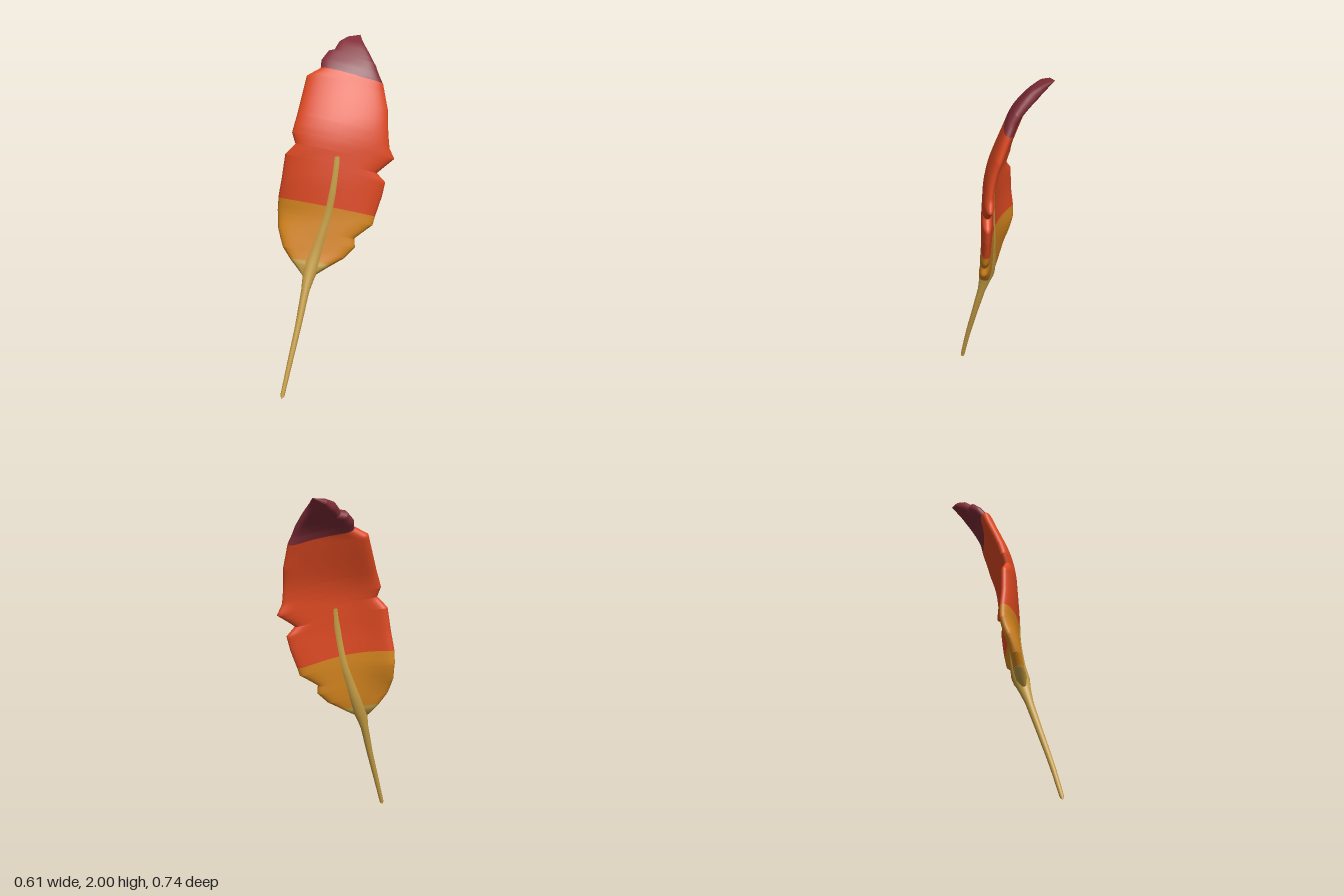
import * as THREE from 'three';

const mat = (name, color) => {
  const m = new THREE.MeshStandardMaterial({ color });
  m.name = name;
  return m;
};

// Piecewise linear lookup in a list of [key, value] pairs
function lookup(table, k) {
  if (k <= table[0][0]) return table[0][1];
  for (let i = 1; i < table.length; i++) {
    const [a, va] = table[i - 1], [b, vb] = table[i];
    if (k <= b) return va + (vb - va) * (k - a) / (b - a);
  }
  return table[table.length - 1][1];
}

// Depth of the vane along its middle, its sideways tilt and its curl, by height
const BEND = [[0.6, 0.13], [0.64, 0.115], [0.7, 0.094], [0.76, 0.077], [0.83, 0.066], [1, 0.049], [1.2, 0.046],
  [1.4, 0.032], [1.5, 0.008], [1.6, -0.035], [1.7, -0.081], [1.8, -0.124], [1.9, -0.22], [1.95, -0.28],
  [2, -0.36], [2.1, -0.53]];
const TILT = [[0.83, 0.44], [1, 0.4]];
const CURL = [[0.83, 0.5], [1, 0.9]];
// Ragged outlines of the two vane edges, as x, y
const RIGHT_EDGE = [[-0.095, 0.64], [-0.13, 0.67], [-0.2, 0.75], [-0.25, 0.82], [-0.29, 0.92], [-0.305, 1.02],
  [-0.3, 1.1], [-0.28, 1.2], [-0.26, 1.34], [-0.2, 1.4], [-0.225, 1.46], [-0.21, 1.55], [-0.19, 1.77],
  [-0.12, 1.81], [-0.13, 1.855], [-0.11, 1.9], [-0.08, 1.905], [-0.07, 1.95], [-0.04, 1.98], [0.02, 2]];
const LEFT_EDGE = [[-0.095, 0.64], [-0.06, 0.67], [0, 0.71], [0.08, 0.76], [0.13, 0.82], [0.125, 0.87], [0.21, 0.94],
  [0.22, 0.99], [0.25, 1.1], [0.265, 1.18], [0.225, 1.235], [0.303, 1.31], [0.28, 1.37], [0.255, 1.58],
  [0.215, 1.72], [0.165, 1.82], [0.12, 1.88], [0.06, 1.95], [0.02, 2]];
const HALF_THICKNESS = 0.03;

// Drop of a slanted, slightly arched row at x
const rowDrop = x => 0.23 * x + 0.3 * x * x;

// Curved, tilted middle surface of the vane
function depth(x, y) {
  let z = 0;
  for (let i = -2; i <= 2; i++) {
    const h = y + i * 0.018;
    z += (lookup(BEND, h) - lookup(TILT, h) * x - lookup(CURL, h) * x * x) / 5;
  }
  return z;
}

function surfacePoint(x, y, offset) {
  const e = 0.005;
  const n = new THREE.Vector3(
    (depth(x - e, y) - depth(x + e, y)) / (2 * e),
    (depth(x, y - e) - depth(x, y + e)) / (2 * e), 1).normalize();
  return new THREE.Vector3(x, y, depth(x, y)).addScaledVector(n, offset);
}

// Vane: closed cross-sections on slanted rows, coloured in bands
function makeVane(materials) {
  const toRows = edge => edge.map(([x, y]) => [y + rowDrop(x), x]);
  const right = toRows(RIGHT_EDGE), left = toRows(LEFT_EDGE);
  const bands = [0.726, 1.054, 1.785];
  const first = right[0][0], last = right[right.length - 1][0];
  let rows = [...right.map(p => p[0]), ...left.map(p => p[0]), ...bands];
  for (let v = first; v < last; v += 0.025) rows.push(v);
  rows = rows.sort((a, b) => a - b).filter((v, i, all) => i === 0 || v - all[i - 1] > 1e-5);

  const N = 20, ring = 2 * N;
  const positions = [], index = [];
  for (const v of rows) {
    const x0 = lookup(right, v), x1 = lookup(left, v);
    const taper = Math.min(1, (x1 - x0) / 0.16);
    for (let k = 0; k < ring; k++) {
      // Front from right to left, then the back on the way home
      const a = -Math.cos(Math.PI * k / N);
      const side = k === 0 || k === N ? 0 : k < N ? 1 : -1;
      const t = side * HALF_THICKNESS * taper * Math.sqrt(Math.max(0, 1 - Math.pow(Math.abs(a), 8)));
      const x = (x0 + x1) / 2 + a * (x1 - x0) / 2;
      positions.push(...surfacePoint(x, v - rowDrop(x), t).toArray());
    }
  }
  const geo = new THREE.BufferGeometry();
  for (let r = 0; r < rows.length - 1; r++) {
    const start = index.length;
    for (let k = 0; k < ring; k++) {
      const a = r * ring + k, b = r * ring + (k + 1) % ring;
      index.push(a, b, b + ring, a, b + ring, a + ring);
    }
    const middle = (rows[r] + rows[r + 1]) / 2;
    geo.addGroup(start, index.length - start, bands.filter(b => middle > b).length);
  }
  geo.setAttribute('position', new THREE.Float32BufferAttribute(positions, 3));
  geo.setIndex(index);
  geo.computeVertexNormals();
  const mesh = new THREE.Mesh(geo, materials);
  mesh.name = 'vane';
  return mesh;
}

// Shaft: a tube whose radius follows a profile by height
function makeShaft(material) {
  const points = [[-0.165, 0.004, 0.368], [-0.141, 0.2, 0.306], [-0.119, 0.4, 0.235], [-0.102, 0.6, 0.165]]
    .map(p => new THREE.Vector3(...p));
  for (const [x, y] of [[-0.088, 0.7], [-0.066, 0.8], [-0.041, 0.9], [-0.015, 1], [0.012, 1.15], [0.026, 1.27], [0.031, 1.35]])
    points.push(new THREE.Vector3(x, y, depth(x, y)));
  const curve = new THREE.CatmullRomCurve3(points);
  const radius = [[0, 0], [0.006, 0.009], [0.03, 0.012], [0.4, 0.018], [0.58, 0.023], [0.66, 0.034], [0.72, 0.046],
    [0.79, 0.043], [0.9, 0.038], [1.05, 0.0355], [1.2, 0.0345], [1.335, 0.0325], [1.35, 0]];
  const segments = 90, sides = 24;
  const geo = new THREE.TubeGeometry(curve, segments, 1, sides, false);
  const pos = geo.attributes.position, p = new THREE.Vector3();
  for (let i = 0; i <= segments; i++) {
    const c = curve.getPointAt(i / segments);
    const r = i === 0 || i === segments ? 0 : lookup(radius, c.y);
    for (let j = 0; j <= sides; j++) {
      const k = i * (sides + 1) + j;
      p.fromBufferAttribute(pos, k).sub(c).multiplyScalar(r).add(c);
      pos.setXYZ(k, p.x, p.y, p.z);
    }
  }
  const mesh = new THREE.Mesh(geo, material);
  mesh.name = 'shaft';
  return mesh;
}

export function createModel() {
  const tan = mat('tan', 0xc8a046);
  const ochre = mat('ochre', 0xd8871f);
  const red = mat('orange red', 0xe04a22);
  const plum = mat('plum', 0x812e38);
  const group = new THREE.Group();
  group.name = 'feather';
  group.add(makeVane([tan, ochre, red, plum]), makeShaft(tan));
  return group;
}
